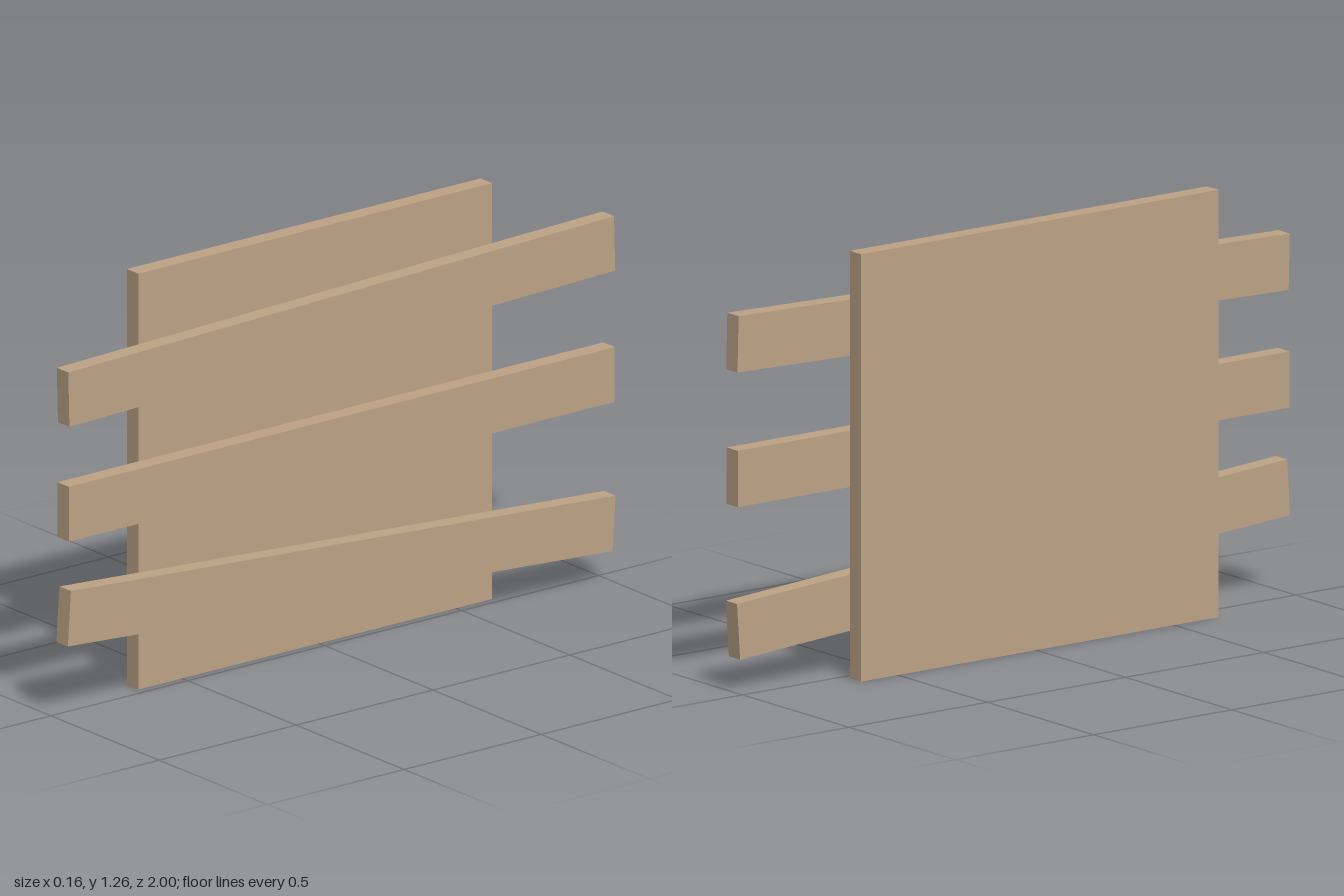
import * as THREE from 'three';

export function createModel() {
  const model = new THREE.Group();
  model.name = 'plankedPanel';
  const wood = new THREE.MeshStandardMaterial({ color: 0xbda386 });
  wood.name = 'light wood';

  const addBoard = (name, height, length, x, y, z, tilt = 0) => {
    const board = new THREE.Mesh(new THREE.BoxGeometry(0.053, height, length), wood);
    board.name = name;
    board.position.set(x, y, z);
    board.rotation.x = tilt;
    model.add(board);
  };

  // Upright backing panel
  addBoard('backPanel', 1.26, 1.292, -0.053, 0.63, 0.014);

  // Three loose planks across the panel, each at its own tilt
  const planks = [
    ['topPlank', 1.003, 0.025],
    ['middlePlank', 0.631, 0],
    ['bottomPlank', 0.247, -0.067],
  ];
  for (const [name, y, tilt] of planks) {
    addBoard(name, 0.166, 1.994, 0.052, y, 0, tilt);
  }
  return model;
}
